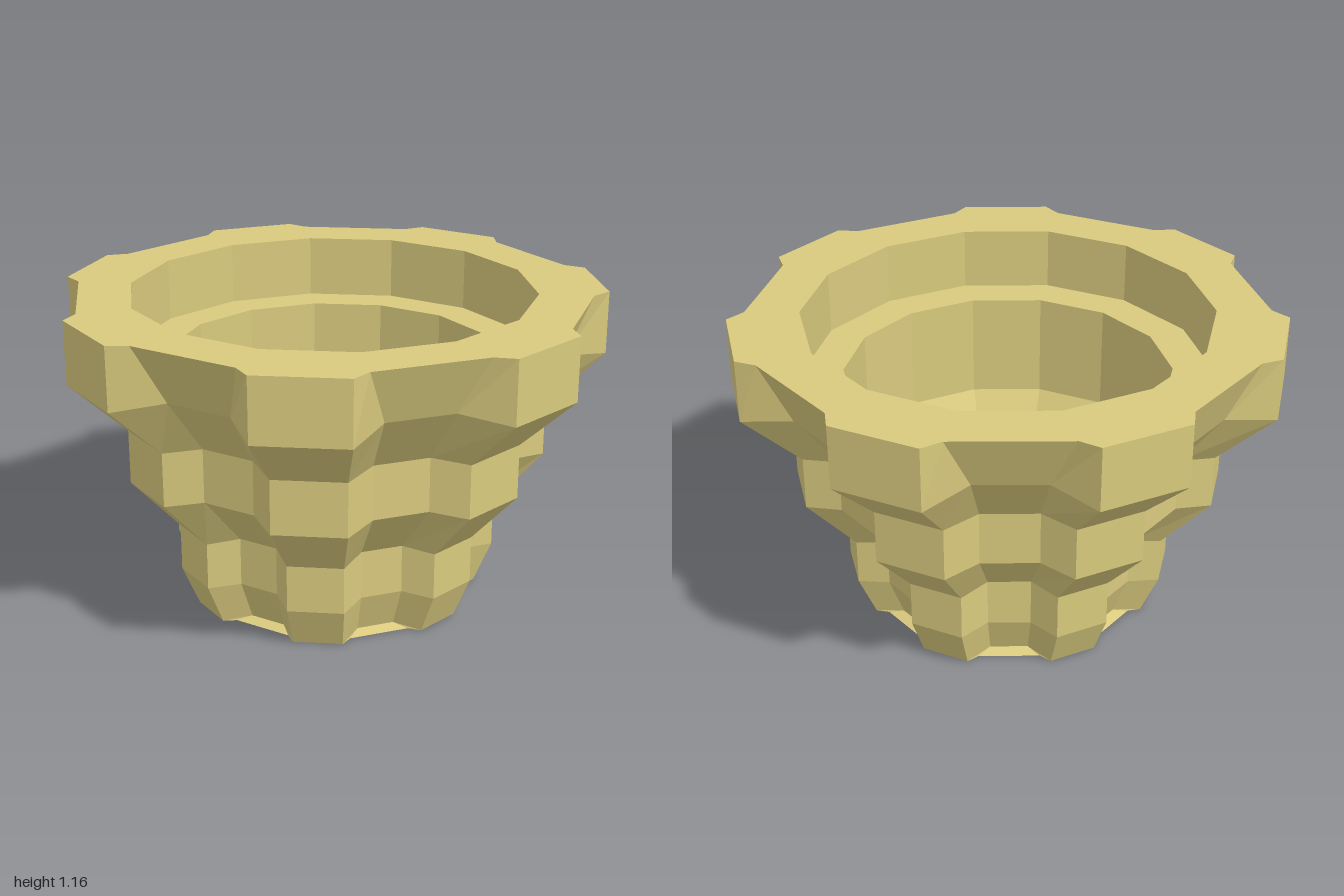
import * as THREE from 'three';

const TEETH = 7;
const STEP = (Math.PI * 2) / TEETH;
const DEG = Math.PI / 180;
const CENTRE_Z = -0.016;

const polar = (r, a, y) => [r * Math.sin(a), y, r * Math.cos(a) + CENTRE_Z];

// Outer ring: seven flat teeth with a recessed valley between each pair
function toothedRing(y, toothR, valleyY, valleyR, valleyDeg) {
  const ring = [];
  for (let i = 0; i < TEETH; i++) {
    const a = i * STEP;
    ring.push(
      polar(toothR, a - 9.5 * DEG, y),
      polar(toothR, a + 9.5 * DEG, y),
      polar(valleyR, a + valleyDeg * DEG, valleyY),
      polar(valleyR, a + STEP - valleyDeg * DEG, valleyY)
    );
  }
  return ring;
}

// Inner ring: a plain 14-gon, with corners doubled to pair with the outer ring
function plainRing(y, r) {
  const ring = [];
  for (let i = 0; i < TEETH; i++) {
    for (const k of [-1, 1, 1, 3]) ring.push(polar(r, (i + k / 4) * STEP, y));
  }
  return ring;
}

// Joins each ring to the next, leaving out triangles without area
function loft(rings) {
  const pos = [];
  const same = (p, q) => Math.hypot(p[0] - q[0], p[1] - q[1], p[2] - q[2]) < 1e-6;
  const tri = (a, b, c) => {
    if (!same(a, b) && !same(b, c) && !same(c, a)) pos.push(...a, ...b, ...c);
  };
  for (let i = 0; i < rings.length - 1; i++) {
    const lo = rings[i], hi = rings[i + 1], n = lo.length;
    for (let j = 0; j < n; j++) {
      const k = (j + 1) % n;
      tri(lo[j], lo[k], hi[k]);
      tri(lo[j], hi[k], hi[j]);
    }
  }
  const geometry = new THREE.BufferGeometry();
  geometry.setAttribute('position', new THREE.Float32BufferAttribute(pos, 3));
  geometry.computeVertexNormals();
  return geometry;
}

export function createModel() {
  const group = new THREE.Group();
  group.name = 'steppedPot';
  const material = new THREE.MeshStandardMaterial({ color: 0xd9ca7e, flatShading: true });
  const add = (name, rings) => {
    const mesh = new THREE.Mesh(loft(rings), material);
    mesh.name = name;
    group.add(mesh);
  };

  // Three toothed tiers: tooth height, tooth radius, valley height, radius, angle
  const outer = [
    [0, 0.545, 0, 0.505, 12.9],
    [0, 0.545, 0.015, 0.46, 17.1],
    [0.155, 0.61, 0.165, 0.515, 17.1],
    [0.33, 0.61, 0.345, 0.515, 17.1],
    [0.53, 0.79, 0.545, 0.69, 17.1],
    [0.73, 0.79, 0.745, 0.69, 17.1],
    [0.93, 1.0, 0.955, 0.847, 17.1],
    [1.163, 1.0, 1.163, 0.942, 12.9],
  ].map((p) => toothedRing(...p));

  // Bore from the rim down: wide recess, ledge, then a narrowing throat
  const inner = [
    [1.163, 0.745], [0.93, 0.745], [0.93, 0.6], [0.53, 0.6],
    [0.33, 0.47], [0.16, 0.47], [0, 0.415],
  ].map((p) => plainRing(...p));

  add('outerWall', outer);
  add('topRim', [outer[outer.length - 1], inner[0]]);
  add('innerWall', inner);
  add('bottomRim', [inner[inner.length - 1], outer[0]]);
  return group;
}
